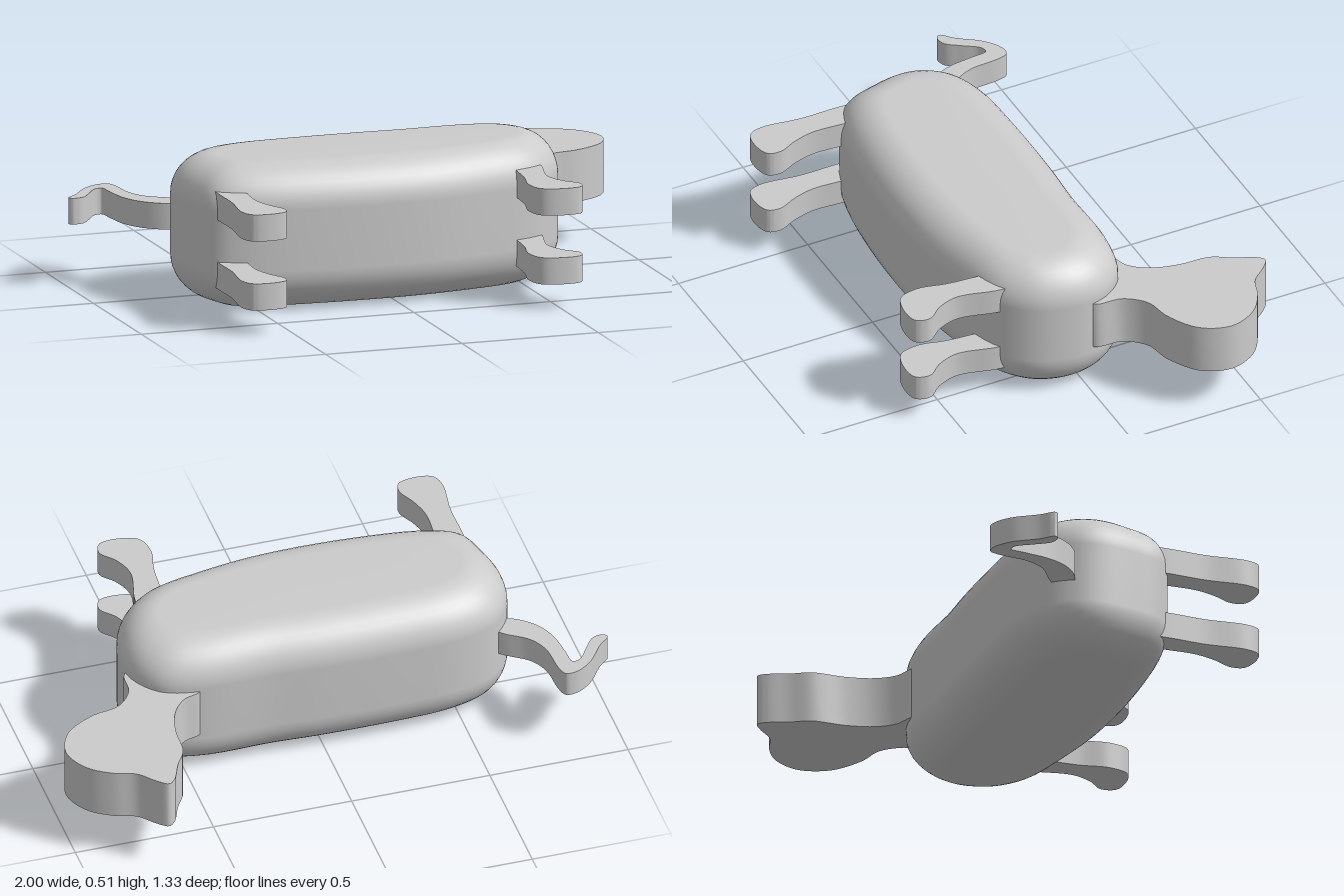
import * as THREE from 'three';
import { toCreasedNormals } from 'three/addons/utils/BufferGeometryUtils.js';

const material = new THREE.MeshStandardMaterial({ color: 0xcccccc });

// Smooth closed curve through plan points [x, z]
function outline(points, count) {
  const curve = new THREE.CatmullRomCurve3(
    points.map(([x, z]) => new THREE.Vector3(x, 0, z)), true, 'centripetal');
  return curve.getPoints(count).slice(0, count);
}

// Flat slab with a curved plan outline, standing from y0 to y1
function slab(name, points, y0, y1) {
  const shape = new THREE.Shape(outline(points, 96).map(p => new THREE.Vector2(p.x, -p.z)));
  const geometry = new THREE.ExtrudeGeometry(shape, { depth: y1 - y0, bevelEnabled: false });
  geometry.rotateX(-Math.PI / 2).translate(0, y0, 0);
  const mesh = new THREE.Mesh(toCreasedNormals(geometry, 0.7), material);
  mesh.name = name;
  return mesh;
}

// Pillow-like body: the plan outline stacked in layers, drawn in around the rims
function body(points, height, radius) {
  const ring = outline(points, 96), n = ring.length, steps = 10;
  const box = new THREE.Box3().setFromPoints(ring);
  const c = box.getCenter(new THREE.Vector3());
  const half = box.getSize(new THREE.Vector3()).multiplyScalar(0.5);
  const layers = [];
  for (let i = 0; i <= steps; i++) {
    const a = (i / steps) * Math.PI / 2;
    layers.push([radius * (1 - Math.sin(a)), radius * (1 - Math.cos(a))]);
  }
  const lower = layers.map(([inset, y]) => [y, inset]).sort((p, q) => p[0] - q[0]);
  const lowerRim = lower.map(([y]) => {
    const t = 1 - y / radius;
    return [y, radius * (1 - Math.sqrt(Math.max(0, 1 - t * t)))];
  });
  const rims = [...lowerRim, ...lowerRim.map(([y, inset]) => [height - y, inset]).reverse()];

  const positions = [], index = [];
  for (const [y, inset] of rims) {
    for (const p of ring) {
      positions.push(
        c.x + (p.x - c.x) * (1 - inset / half.x), y,
        c.z + (p.z - c.z) * (1 - inset / half.z));
    }
  }
  const bottom = rims.length * n, top = bottom + 1, last = (rims.length - 1) * n;
  positions.push(c.x, 0, c.z, c.x, height, c.z);
  for (let i = 0; i < n; i++) {
    const j = (i + 1) % n;
    for (let k = 0; k < rims.length - 1; k++) {
      const a = k * n + i, b = k * n + j;
      index.push(a, a + n, b, b, a + n, b + n);
    }
    index.push(bottom, i, j, top, last + j, last + i);
  }
  const geometry = new THREE.BufferGeometry();
  geometry.setAttribute('position', new THREE.Float32BufferAttribute(positions, 3));
  geometry.setIndex(index);
  geometry.computeVertexNormals();
  const mesh = new THREE.Mesh(geometry, material);
  mesh.name = 'body';
  return mesh;
}

const BODY = [
  [-0.5, -0.19], [-0.3, -0.205], [0, -0.205], [0.2, -0.195], [0.45, -0.195],
  [0.58, -0.16], [0.65, -0.08], [0.675, 0.02], [0.655, 0.14], [0.61, 0.22],
  [0.52, 0.295], [0.35, 0.345], [0.1, 0.387], [-0.25, 0.387], [-0.55, 0.345],
  [-0.66, 0.29], [-0.7, 0.18], [-0.72, 0.05], [-0.7, -0.05], [-0.63, -0.14],
];
const HEAD = [
  [0.675, -0.02], [0.69, -0.12], [0.75, -0.19], [0.85, -0.215], [0.96, -0.285],
  [1, -0.39], [0.96, -0.49], [0.88, -0.55], [0.8, -0.58], [0.75, -0.635],
  [0.71, -0.665], [0.685, -0.645], [0.65, -0.57], [0.61, -0.5], [0.6, -0.38],
  [0.57, -0.28], [0.52, -0.22], [0.45, -0.19], [0.46, -0.1], [0.58, 0],
];
const TAIL = [
  [-0.65, -0.13], [-0.74, -0.2], [-0.775, -0.27], [-0.785, -0.38], [-0.8, -0.42],
  [-0.84, -0.42], [-0.9, -0.38], [-0.96, -0.3], [-1, -0.26], [-0.99, -0.245],
  [-0.95, -0.25], [-0.91, -0.3], [-0.87, -0.355], [-0.843, -0.36], [-0.835, -0.3],
  [-0.82, -0.2], [-0.78, -0.12], [-0.7, -0.06], [-0.6, -0.05],
];
const REAR_LEG = [
  [-0.65, 0.3], [-0.65, 0.45], [-0.665, 0.6], [-0.645, 0.65], [-0.58, 0.663],
  [-0.52, 0.645], [-0.51, 0.6], [-0.54, 0.53], [-0.56, 0.45], [-0.555, 0.33],
  [-0.55, 0.22], [-0.64, 0.22],
];
const FRONT_LEG = [
  [0.44, 0.32], [0.43, 0.43], [0.41, 0.53], [0.43, 0.605], [0.5, 0.63],
  [0.57, 0.62], [0.585, 0.57], [0.54, 0.51], [0.515, 0.43], [0.545, 0.28],
  [0.54, 0.2], [0.45, 0.22],
];

export function createModel() {
  const model = new THREE.Group();
  model.name = 'toyDog';
  model.add(body(BODY, 0.515, 0.15));
  model.add(slab('head', HEAD, 0.17, 0.355));
  model.add(slab('tail', TAIL, 0.225, 0.318));

  // Two pairs of legs
  for (const [side, y] of [['lower', 0.09], ['upper', 0.335]]) {
    model.add(slab(side + 'RearLeg', REAR_LEG, y, y + 0.095));
    model.add(slab(side + 'FrontLeg', FRONT_LEG, y, y + 0.095));
  }
  return model;
}
